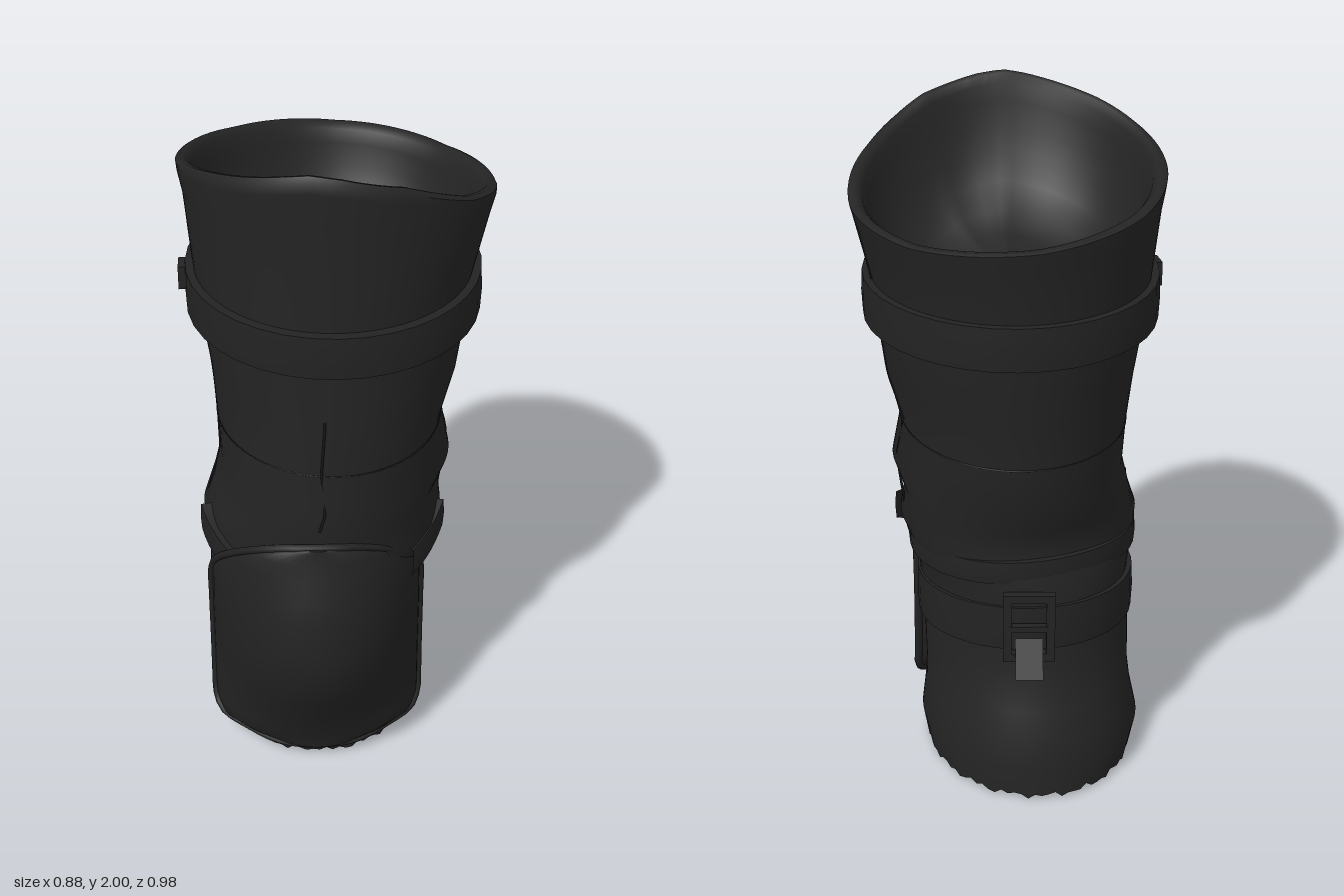
import * as THREE from 'three';
import { toCreasedNormals } from 'three/addons/utils/BufferGeometryUtils.js';

const mat = (name, color) =>
  new THREE.MeshStandardMaterial({ name, color, side: THREE.DoubleSide });

const { lerp } = THREE.MathUtils;
const V = (x, y, z) => new THREE.Vector3(x, y, z);
const TAU = Math.PI * 2;

// piecewise-linear lookup in rows of [key, value, value, ...]
function sample(table, k) {
  if (k <= table[0][0]) return table[0].slice(1);
  for (let i = 1; i < table.length; i++) {
    const a = table[i - 1], b = table[i];
    if (k <= b[0]) {
      const t = (k - a[0]) / (b[0] - a[0]);
      return a.slice(1).map((v, j) => lerp(v, b[j + 1], t));
    }
  }
  return table[table.length - 1].slice(1);
}

// leg sections: y, min x, max x, front z, back z
const LEG = [
  [0, -0.37, 0.25, 0.31, -0.425], [0.1, -0.395, 0.265, 0.325, -0.42],
  [0.2, -0.375, 0.25, 0.33, -0.405], [0.27, -0.37, 0.245, 0.335, -0.375],
  [0.4, -0.375, 0.245, 0.34, -0.335], [0.6, -0.37, 0.255, 0.35, -0.34],
  [0.7, -0.385, 0.285, 0.36, -0.335], [0.77, -0.39, 0.315, 0.365, -0.315],
  [0.86, -0.365, 0.295, 0.375, -0.345], [0.96, -0.345, 0.325, 0.385, -0.385],
  [1.1, -0.345, 0.305, 0.385, -0.395], [1.25, -0.36, 0.345, 0.385, -0.42],
  [1.42, -0.385, 0.37, 0.385, -0.44], [1.55, -0.4, 0.385, 0.385, -0.455],
  [1.77, -0.42, 0.438, 0.388, -0.487], [1.86, -0.433, 0.438, 0.39, -0.487],
];

// point on the leg at angle a (0 = front, quarter turn = +x), pushed out by off
function onLeg(a, y, off = 0) {
  const [x0, x1, zf, zb] = sample(LEG, y);
  const fold = 0.007 * Math.sin(3 * a + y * 17) * Math.exp(-(((y - 0.85) / 0.25) ** 2));
  const o = off + fold;
  return V((x0 + x1) / 2 + ((x1 - x0) / 2 + o) * Math.sin(a), y,
    (zf + zb) / 2 + ((zf - zb) / 2 + o) * Math.cos(a));
}

// surface from rows x columns of points
function loft(nr, nc, fn, wrap, crease = 0.7) {
  const pos = [], idx = [];
  for (let r = 0; r < nr; r++) for (let c = 0; c < nc; c++) pos.push(...fn(r, c).toArray());
  for (let r = 0; r < nr - 1; r++) for (let c = 0; c < (wrap ? nc : nc - 1); c++) {
    const d = (c + 1) % nc;
    const p = r * nc + c, q = r * nc + d, s = p + nc, t = q + nc;
    idx.push(p, q, t, p, t, s);
  }
  const g = new THREE.BufferGeometry();
  g.setAttribute('position', new THREE.Float32BufferAttribute(pos, 3));
  g.setIndex(idx);
  return toCreasedNormals(g, crease);
}

// strap around the leg between two angles
function strap(a0, a1, yAt, h, thick, n = 28) {
  const outline = [[-0.015, -h / 2], [thick, -h / 2], [thick + 0.003, 0], [thick, h / 2], [-0.015, h / 2]];
  return loft(outline.length, n + 1, (r, c) => {
    const a = lerp(a0, a1, c / n);
    const [off, dy] = outline[r];
    const p = onLeg(a, yAt(a), off);
    p.y += dy;
    return p;
  }, false, 0.6);
}

export function createModel() {
  const model = new THREE.Group();
  const cloth = mat('black cloth', 0x242424);
  const padMat = mat('black pad', 0x222222);
  const leather = mat('black leather', 0x232323);
  const dark = mat('dark stitching', 0x161616);
  const add = (name, geo, m) => {
    const mesh = new THREE.Mesh(geo, m);
    mesh.name = name;
    model.add(mesh);
    return mesh;
  };
  const tube = (pts, r, closed = false) =>
    new THREE.TubeGeometry(new THREE.CatmullRomCurve3(pts, closed), pts.length * 3, r, 6, closed);

  // slanted top rim: high at the front, low at the back and +x side
  const RIM = [[0, 1.99], [0.4, 1.95], [0.9, 1.86], [1.57, 1.775], [2.3, 1.75], [3.14, 1.765],
    [3.9, 1.8], [4.71, 1.865], [5.4, 1.94], [5.95, 1.99], [6.1, 2], [TAU, 1.99]];
  const rimY = a => sample(RIM, a)[0];

  // leg tube: frayed hem, outer wall, rolled rim and a sloping bowl inside
  const rows = LEG.slice(0, 14).map(s => ({ y: s[0] }));
  [[0.35, 0], [0.7, 0], [0.9, 0.003], [0.97, 0.003], [1, -0.01], [0.99, -0.025], [0.93, -0.036]]
    .forEach(([s, off]) => rows.push({ s, off }));
  [0.97, 0.92, 0.85, 0.75, 0.6, 0.4, 0.2, 0].forEach(bowl => rows.push({ bowl }));
  const N = 96;
  add('trouserLeg', loft(rows.length, N, (r, c) => {
    const a = (c / N) * TAU, { y, s, off, bowl } = rows[r];
    if (bowl !== undefined) {
      const p = onLeg(a, lerp(1.55, rimY(a), 0.93), -0.036);
      const depth = 0.3 * (1 - bowl ** 5);
      return V(p.x * bowl, lerp(1.84, p.y, bowl) - depth, lerp(-0.04, p.z, bowl));
    }
    if (s !== undefined) return onLeg(a, lerp(1.55, rimY(a), s), off);
    const p = onLeg(a, y);
    if (r === 0) p.y = 0.012 + 0.007 * Math.sin(c * 2.4) + 0.005 * Math.sin(c * 1.1);
    return p;
  }, true, 0.9), cloth);

  // seams: both sides, front, and one around the shin
  const seam = (a, y0, y1) =>
    tube(Array.from({ length: 14 }, (_, i) => onLeg(a, lerp(y0, y1, i / 13), -0.001)), 0.004);
  add('leftSideSeam', seam(Math.PI / 2, 0.65, 1.76), dark);
  add('rightSideSeam', seam(Math.PI * 1.5, 0.65, 1.84), dark);
  add('frontSeam', seam(-0.1, 0.9, 1.27), dark);
  add('shinSeam', tube(Array.from({ length: 24 }, (_, i) => onLeg((i / 24) * TAU, 1.09, -0.001)), 0.003, true), dark);

  // upper belt with a small keeper
  add('upperBelt', strap(0, TAU, () => 1.487, 0.125, 0.03, 36), leather);
  const keeper = add('beltKeeper', new THREE.BoxGeometry(0.03, 0.07, 0.06), leather);
  keeper.position.set(-0.427, 1.505, -0.035);

  // knee pad: y, half width, edge z, front z
  const PAD = [
    [0.04, 0.1, 0.3, 0.33], [0.07, 0.22, 0.25, 0.335], [0.1, 0.29, 0.21, 0.345],
    [0.14, 0.31, 0.175, 0.36], [0.2, 0.312, 0.16, 0.385], [0.3, 0.312, 0.15, 0.435],
    [0.4, 0.312, 0.145, 0.476], [0.5, 0.312, 0.145, 0.488], [0.63, 0.308, 0.165, 0.468],
    [0.69, 0.285, 0.21, 0.45], [0.75, 0.245, 0.27, 0.428], [0.8, 0.19, 0.325, 0.412],
    [0.835, 0.11, 0.365, 0.402], [0.845, 0.05, 0.38, 0.4],
  ];
  const padPoint = ([y, w, ze, zf], u) =>
    V(-0.065 + w * Math.sin(u), y, ze + (zf - ze) * Math.max(Math.cos(u), 0) ** 1.4);
  const M = 18;
  add('kneePad', loft(PAD.length + 2, M + 3, (r, c) => {
    const i = Math.min(Math.max(r - 1, 0), PAD.length - 1);
    const u = (Math.min(Math.max(c - 1, 0), M) / M - 0.5) * Math.PI;
    const p = padPoint(PAD[i], u);
    if (c === 0 || c === M + 2) { // lip turned in to the leg
      p.x += c === 0 ? 0.05 : -0.05;
      p.z -= 0.015;
    }
    if (r === 0 || r === PAD.length + 1) p.z -= 0.06;
    return p;
  }, false, 0.9), padMat);

  // piping along the pad edge
  const edge = [...PAD.map(s => padPoint(s, Math.PI / 2)),
    ...PAD.map(s => padPoint(s, -Math.PI / 2)).reverse()];
  add('padPiping', tube(edge, 0.012, true), leather);

  // knee straps around the back and tabs beside the pad
  const back = a => (1 - Math.cos(a)) / 2;
  add('kneeStrap', strap(1.0, TAU - 1.0, a => 0.47 + 0.08 * back(a), 0.14, 0.012), leather);
  add('upperKneeStrap', strap(1.0, TAU - 1.0, a => 0.65 + 0.08 * back(a), 0.07, 0.005), leather);
  for (const s of [1, -1])
    add(s > 0 ? 'leftPadTab' : 'rightPadTab',
      strap(s > 0 ? 0.85 : -1.35, s > 0 ? 1.35 : -0.85, a => 0.76 - 0.14 * (1.35 - Math.abs(a)), 0.09, 0.018, 6), leather);

  // buckle at the back: frame, prong and loose strap tip
  const buckle = new THREE.Group();
  buckle.name = 'backBuckle';
  const corners = (w, h) => [[-w, -h], [w, -h], [w, h], [-w, h]].map(p => new THREE.Vector2(...p));
  const frame = new THREE.Shape(corners(0.075, 0.11));
  frame.holes.push(new THREE.Path(corners(0.05, 0.085)));
  const part = (name, geo, y, z, rx = 0) => {
    const m = new THREE.Mesh(geo, leather);
    m.name = name;
    m.position.set(0, y, z);
    m.rotation.x = rx;
    buckle.add(m);
  };
  part('buckleFrame', new THREE.ExtrudeGeometry(frame, { depth: 0.025, bevelEnabled: false }), 0, -0.01);
  part('buckleProng', new THREE.BoxGeometry(0.11, 0.018, 0.02), 0, 0.008);
  part('strapTip', new THREE.BoxGeometry(0.08, 0.12, 0.015), -0.09, 0.035, -0.6);
  const angle = Math.PI - 0.2;
  buckle.position.copy(onLeg(angle, 0.565, 0.022));
  buckle.rotation.y = angle;
  model.add(buckle);

  return model;
}
